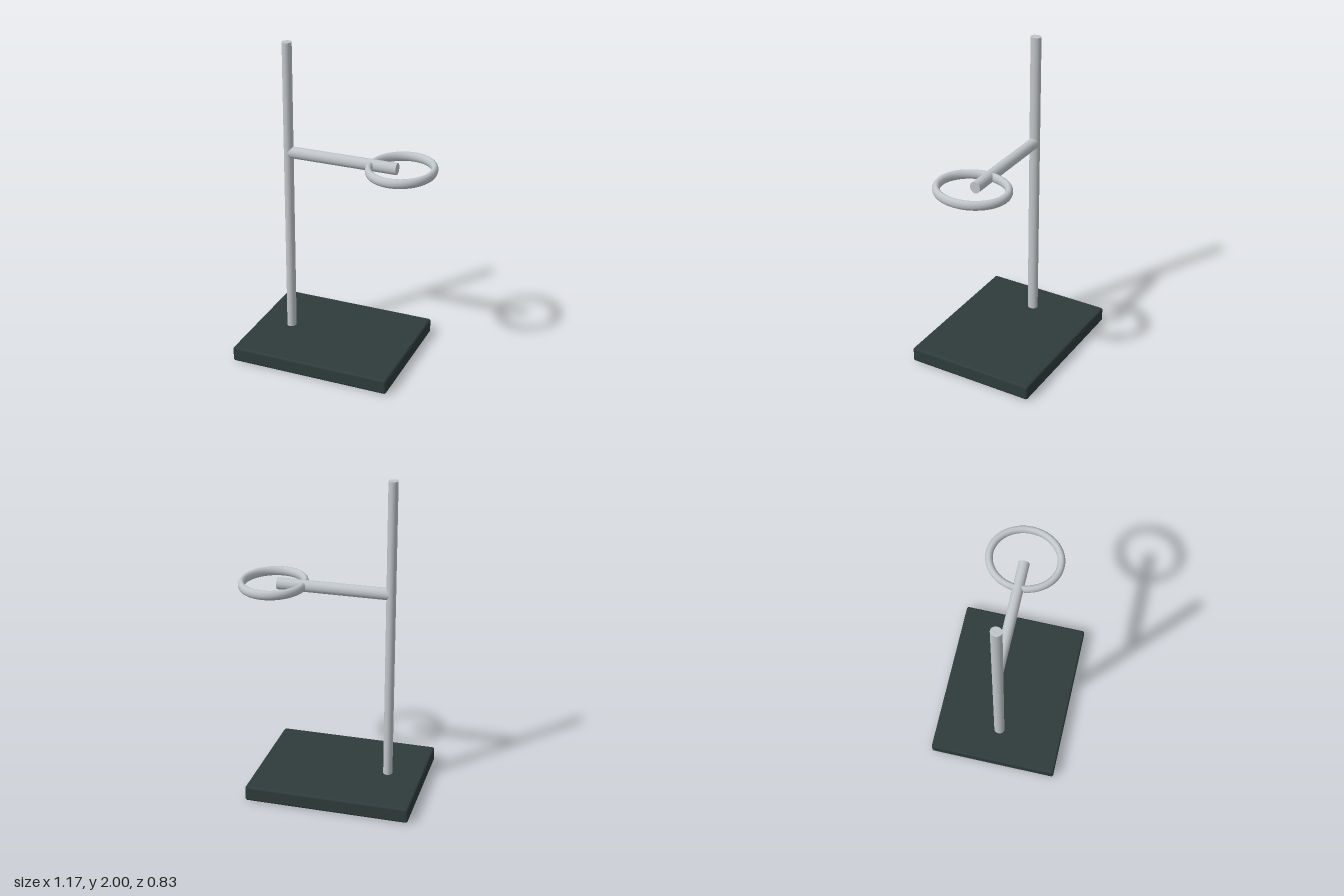
import * as THREE from 'three';
import { RoundedBoxGeometry } from 'three/addons/geometries/RoundedBoxGeometry.js';

export function createModel() {
  const model = new THREE.Group();
  model.name = 'ringStand';

  const steel = new THREE.MeshStandardMaterial({ color: 0xc0c5c9 });
  steel.name = 'brushed steel';
  const iron = new THREE.MeshStandardMaterial({ color: 0x2e3c3b });
  iron.name = 'dark painted iron';

  const add = (name, geometry, material, x, y, z = 0) => {
    const mesh = new THREE.Mesh(geometry, material);
    mesh.name = name;
    mesh.position.set(x, y, z);
    model.add(mesh);
    return mesh;
  };

  // Heavy base plate with softened edges
  add('basePlate', new RoundedBoxGeometry(1.03, 0.096, 0.83, 3, 0.014), iron, -0.07, 0.052);

  // Upright rod, slightly oval in section, sunk into the base
  const poleX = -0.366, poleBottom = 0.05, poleTop = 2;
  const pole = new THREE.CylinderGeometry(1, 1, poleTop - poleBottom, 40);
  pole.scale(0.029, 1, 0.034);
  add('pole', pole, steel, poleX, (poleBottom + poleTop) / 2);

  // Horizontal arm running from the pole axis into the ring
  const armEnd = 0.342, armY = 1.304;
  const arm = new THREE.CylinderGeometry(1, 1, armEnd - poleX, 40);
  arm.rotateZ(Math.PI / 2);
  arm.scale(1, 0.037, 0.034);
  add('arm', arm, steel, (armEnd + poleX) / 2, armY);

  // Flat-lying support ring, a little narrower in x than in z
  const ring = new THREE.TorusGeometry(0.218, 0.0235, 20, 72);
  ring.rotateX(Math.PI / 2);
  ring.scale(0.885, 1.24, 1);
  add('supportRing', ring, steel, 0.369, armY);

  return model;
}
